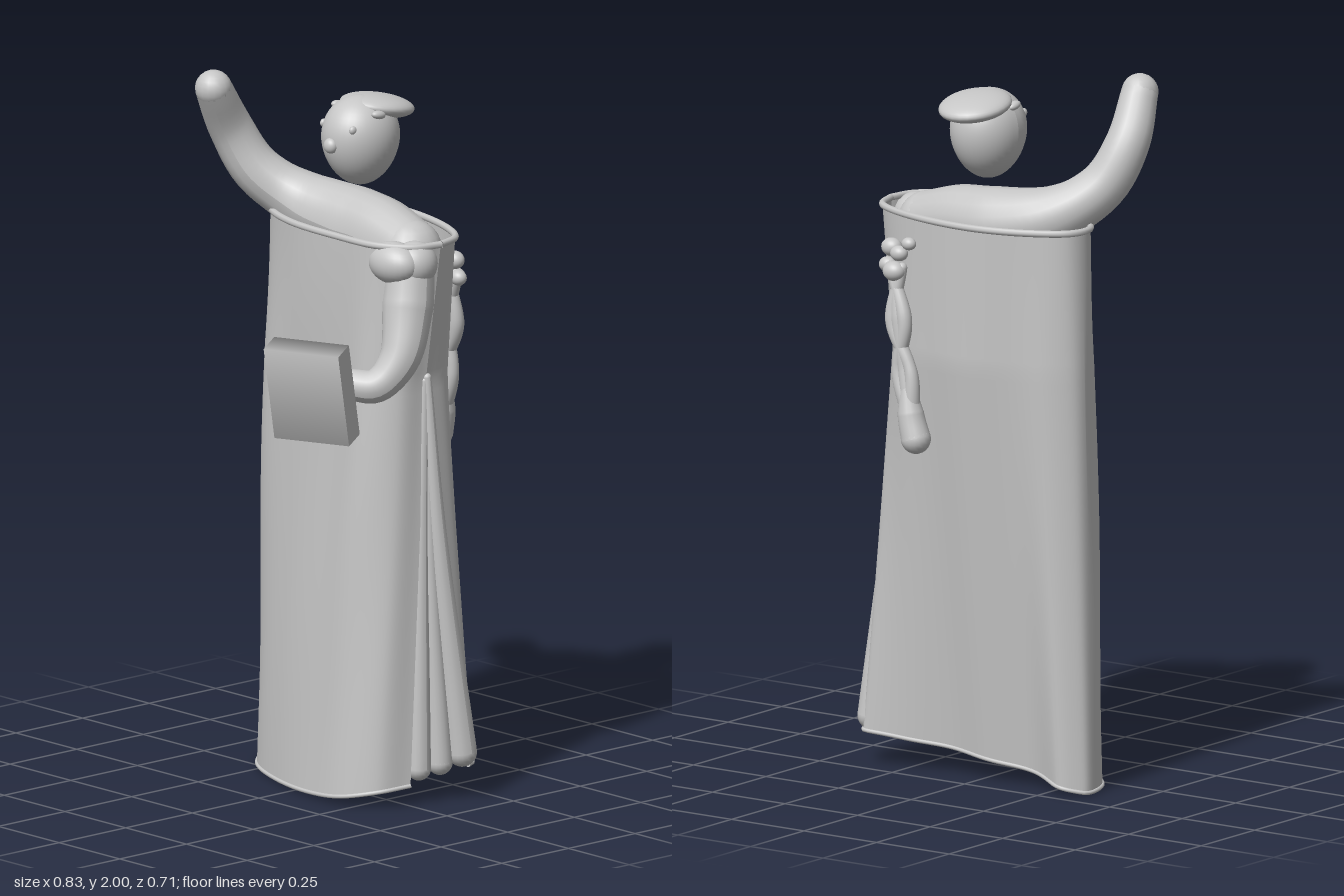
import * as THREE from 'three';
import { mergeGeometries } from 'three/addons/utils/BufferGeometryUtils.js';

const grey = new THREE.MeshStandardMaterial({ color: 0xc6c6c6, side: THREE.DoubleSide });
grey.name = 'clay grey';
const V = (x, y, z) => new THREE.Vector3(x, y, z);

function part(name, geometry, parent) {
  const mesh = new THREE.Mesh(geometry, grey);
  mesh.name = name;
  parent.add(mesh);
  return mesh;
}

// Scaled sphere at a place
function ball(name, parent, pos, scale, rotX = 0) {
  const m = part(name, new THREE.SphereGeometry(1, 28, 20), parent);
  m.position.set(...pos);
  m.scale.set(...scale);
  m.rotation.x = rotX;
  return m;
}

// Tube of varying radius along a curve, with rounded ends
function limb(name, parent, points, radii) {
  const n = 36, sides = 18;
  const curve = new THREE.CatmullRomCurve3(points.map(p => V(...p)), false, 'centripetal');
  const geo = new THREE.TubeGeometry(curve, n, 1, sides, false);
  const pos = geo.attributes.position, v = V(0, 0, 0);
  for (let i = 0; i <= n; i++) {
    const c = curve.getPointAt(i / n);
    const f = (i / n) * (radii.length - 1), k = Math.min(Math.floor(f), radii.length - 2);
    const r = THREE.MathUtils.lerp(radii[k], radii[k + 1], f - k);
    for (let j = 0; j <= sides; j++) {
      const id = i * (sides + 1) + j;
      v.fromBufferAttribute(pos, id).sub(c).multiplyScalar(r).add(c);
      pos.setXYZ(id, v.x, v.y, v.z);
    }
  }
  geo.computeVertexNormals();
  const ends = [0, 1].map(e => {
    const c = curve.getPointAt(e);
    return new THREE.SphereGeometry(radii[e * (radii.length - 1)], sides, 12).translate(c.x, c.y, c.z);
  });
  return part(name, mergeGeometries([geo, ...ends]), parent);
}

// Robe outlines (x, z) from the front of the side slit around to its back
const TOP = [[.365, -.10], [.345, -.02], [.26, .04], [.1, .05], [-.1, .035], [-.25, -.025], [-.325, -.11],
  [-.315, -.185], [-.22, -.25], [-.08, -.288], [.08, -.282], [.25, -.235], [.335, -.18], [.365, -.10]];
const MID = [[.325, -.08], [.31, 0], [.23, .058], [.1, .048], [-.1, .025], [-.26, -.015], [-.335, -.11],
  [-.33, -.19], [-.23, -.25], [-.08, -.283], [.08, -.285], [.22, -.245], [.30, -.18], [.325, -.08]];
const LOW = [[.35, 0], [.315, .09], [.22, .143], [.08, .133], [-.1, .09], [-.27, .01], [-.35, -.09],
  [-.355, -.18], [-.27, -.195], [-.1, -.165], [.08, -.175], [.25, -.185], [.37, -.215], [.40, -.17]];
const HEM = [.06, .05, .03, .015, .01, .01, .01, .01, .03, .055, .075, .09, .1, .1];
const MID_Y = 1.2, TOP_Y = 1.595;

const outline = (pts, y) => new THREE.CatmullRomCurve3(
  pts.map((p, i) => V(p[0], Array.isArray(y) ? y[i] : y, p[1])), false, 'centripetal');

function robeSurface() {
  const a = outline(LOW, HEM), b = outline(MID, MID_Y), c = outline(TOP, TOP_Y);
  return (u, v) => {
    const split = 0.7;
    const p = v < split ? a.getPoint(u).lerp(b.getPoint(u), v / split)
      : b.getPoint(u).lerp(c.getPoint(u), (v - split) / (1 - split));
    // Soft folds: diagonal across the front, vertical down the back
    const edge = Math.sin(Math.PI * u);
    if (u < 0.5) p.z += edge * Math.sin(Math.PI * v) * 0.009 * Math.sin(u * 26 + v * 7);
    else p.z += edge * (1 - v) * 0.018 * Math.sin((u - 0.5) * 50) * Math.min(1, (u - 0.5) * 10);
    return p;
  };
}

function addRobe(group) {
  const at = robeSurface(), nu = 110, nv = 50, pos = [], index = [];
  for (let j = 0; j <= nv; j++) for (let i = 0; i <= nu; i++) pos.push(...at(i / nu, j / nv).toArray());
  for (let j = 0; j < nv; j++) for (let i = 0; i < nu; i++) {
    const k = j * (nu + 1) + i, m = k + nu + 1;
    index.push(k, m, k + 1, k + 1, m, m + 1);
  }
  const geo = new THREE.BufferGeometry();
  geo.setAttribute('position', new THREE.Float32BufferAttribute(pos, 3));
  geo.setIndex(index);
  geo.computeVertexNormals();
  part('robe', geo, group);

  // Rolled edges at the neck and the hem
  const roll = (name, v, r) => {
    const pts = Array.from({ length: 70 }, (_, i) => at(i / 69, v));
    part(name, new THREE.TubeGeometry(new THREE.CatmullRomCurve3(pts), 110, r, 8, false), group);
  };
  roll('robeRim', 1, 0.01);
  roll('robeHem', 0, 0.006);

  // Gathered pleats hanging in the side slit
  limb('frontPleat', group, [[.32, 1.2, -.08], [.322, .75, -.065], [.335, .1, -.045]], [.012, .022, .034]);
  limb('middlePleat', group, [[.32, 1.2, -.09], [.33, .7, -.09], [.35, .11, -.11]], [.012, .022, .036]);
  limb('backPleat', group, [[.325, 1.21, -.085], [.343, .75, -.11], [.378, .135, -.168]], [.012, .028, .042]);
}

export function createModel() {
  const group = new THREE.Group();
  group.name = 'robedFigure';

  addRobe(group);

  // Shoulders running into the raised right arm
  limb('shouldersAndRaisedArm', group,
    [[.22, 1.548, -.12], [.1, 1.572, -.13], [-.04, 1.58, -.135], [-.19, 1.612, -.1], [-.305, 1.7, -.02],
      [-.352, 1.82, .035], [-.335, 1.948, .115]],
    [.088, .098, .104, .094, .074, .067, .061, .052]);

  // Bent left arm with a puffed cuff in two lobes
  limb('leftArm', group,
    [[.305, 1.53, -.04], [.322, 1.42, -.015], [.342, 1.285, .035], [.315, 1.215, .095], [.26, 1.215, .14]],
    [.068, .072, .062, .05, .044]);
  ball('cuffFront', group, [.285, 1.545, .002], [.085, .06, .06]);
  ball('cuffSide', group, [.322, 1.542, -.04], [.064, .064, .066]);

  // Book with softly rounded covers, held in the left hand
  const bookShape = new THREE.CylinderGeometry(Math.SQRT1_2, Math.SQRT1_2, 1, 4, 1, false, Math.PI / 4)
    .rotateZ(Math.PI / 2).scale(.228, .28, .073);
  const book = part('book', bookShape, group);
  book.position.set(.215, 1.205, .248);
  book.rotation.set(.26, .4, 0, 'YXZ');

  // Legs inside the robe
  for (const [x, z] of [[.2, -.03], [-.1, -.08]])
    limb('leg', group, [[x, .1, z], [x * .8, .7, z - .03], [x * .6, 1.45, -.12]], [.062, .062, .07]);

  // Head, tapering to the chin
  const head = new THREE.Group();
  head.name = 'head';
  head.position.set(.015, 1.828, -.118);
  group.add(head);
  const skull = new THREE.SphereGeometry(1, 36, 28);
  const p = skull.attributes.position;
  for (let i = 0; i < p.count; i++) {
    const y = p.getY(i), w = 1 + .1 * y;
    p.setXYZ(i, p.getX(i) * .103 * w, y * .127, p.getZ(i) * .114 * w);
  }
  skull.computeVertexNormals();
  part('skull', skull, head);
  ball('nose', head, [0, 0, .112], [.022, .022, .018]);
  for (const s of [-1, 1]) {
    ball('eye', head, [s * .06, .05, .083], [.009, .012, .012]);
    ball('capCorner', head, [s * .083, .086, .008], [.014, .012, .024], -.2);
  }
  ball('cap', head, [0, .088, -.062], [.1, .034, .109], -.18);

  // Bunch hanging on the back: a loose knot, twisted stems and a thick end
  const bunch = new THREE.Group();
  bunch.name = 'backBunch';
  group.add(bunch);
  for (const [x, y, z, r] of [[.24, 1.5, -.265, .026], [.2, 1.49, -.285, .022], [.25, 1.45, -.27, .022],
    [.21, 1.44, -.295, .028], [.17, 1.52, -.28, .018]])
    ball('bloom', bunch, [x, y, z], [r * 1.2, r, r]);
  for (const s of [-1, 0, 1])
    limb('stem', bunch,
      [[.21 + s * .02, 1.45, -.285], [.19 - s * .02, 1.3, -.3], [.165 + s * .022, 1.16, -.306], [.14, 1.04, -.31]],
      [.015, .022, .018, .026]);
  limb('bunchEnd', bunch, [[.155, 1.12, -.306], [.138, 1.03, -.31], [.122, .978, -.312]], [.022, .037, .042]);

  return group;
}
